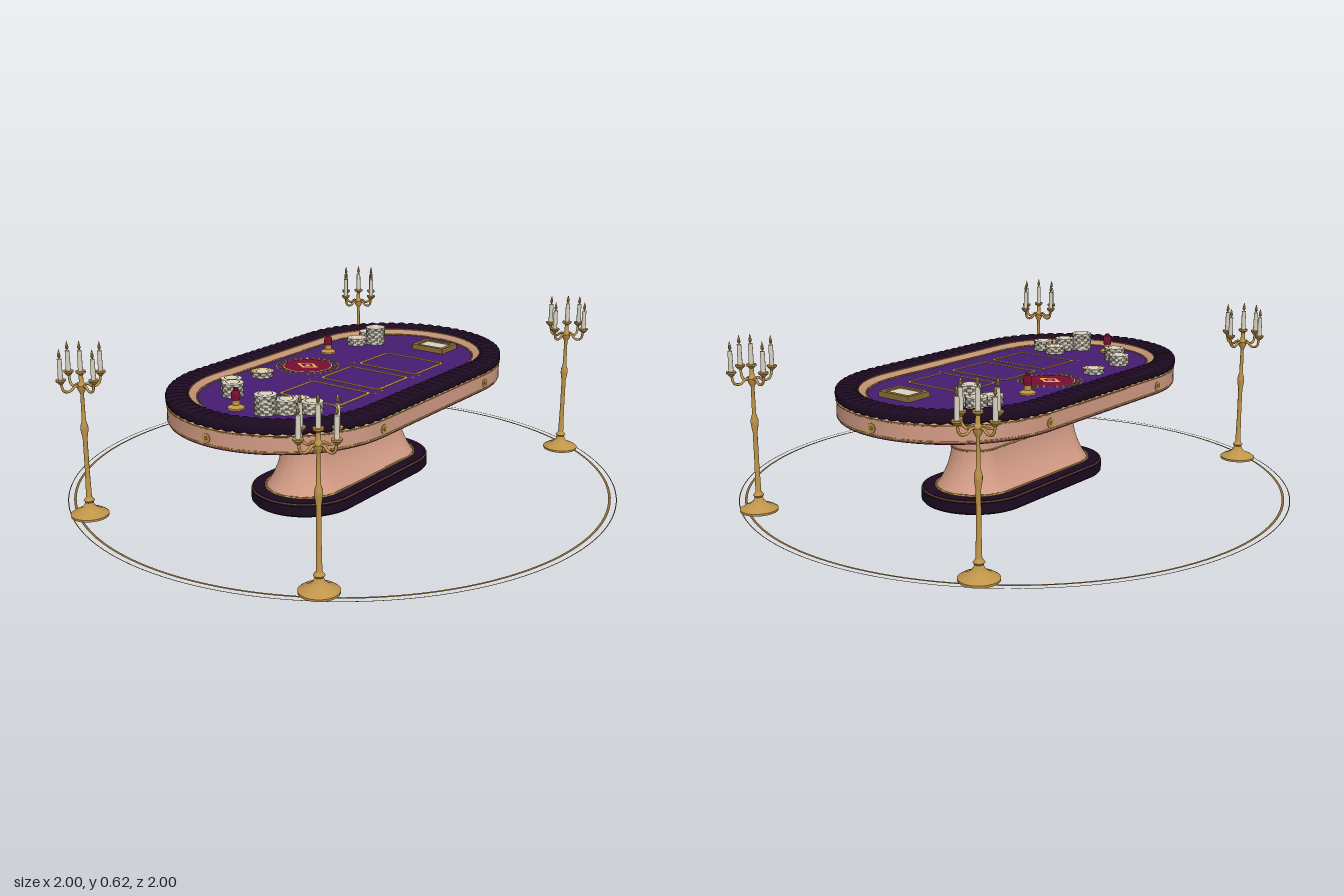
import * as THREE from 'three';
import { mergeGeometries, toCreasedNormals } from 'three/addons/utils/BufferGeometryUtils.js';

const mat = (name, color) => Object.assign(new THREE.MeshStandardMaterial({ color }), { name });
const M = {
  leather: mat('aubergine leather', 0x1c0a20),
  rose: mat('rose lacquer', 0xd49c86),
  ledge: mat('tan lacquer', 0xc29172),
  felt: mat('purple felt', 0x471c72),
  gold: mat('gold', 0xc0954a),
  bright: mat('bright gold', 0xdcb04c),
  trim: mat('antique gold', 0x8c6c3a),
  red: mat('crimson', 0x780e30),
  ivory: mat('ivory', 0xdad4c2),
  slate: mat('slate', 0x77726a),
};
const FELT = 0.41;

function add(parent, name, geo, material, x = 0, y = 0, z = 0) {
  const m = new THREE.Mesh(geo, material);
  m.name = name;
  m.position.set(x, y, z);
  parent.add(m);
  return m;
}

// Points round a stadium: end-centre offset, direction and arc length fraction
function track(half, r, arcN, lineN) {
  const out = [], total = 4 * half + 2 * Math.PI * r;
  let s = 0;
  const push = (c, a) => out.push({ c, cos: Math.cos(a), sin: Math.sin(a), t: s / total });
  for (const side of [1, -1]) {
    const start = side > 0 ? -Math.PI / 2 : Math.PI / 2;
    for (let i = 0; i < arcN; i++) {
      push(side * half, start + Math.PI * i / arcN);
      s += Math.PI * r / arcN;
    }
    for (let i = 0; i < lineN; i++) {
      push(side * half * (1 - 2 * i / lineN), start + Math.PI);
      s += 2 * half / lineN;
    }
  }
  return out;
}

// Sweeps a [radius, y] profile round a stadium; listed upward on the outside
function sweep(half, profile, { arcN = 40, lineN = 4, ripple = null, crease = 0.6 } = {}) {
  const ring = track(half, profile[0][0], arcN, lineN), pos = [], idx = [], n = profile.length;
  for (const p of ring) for (const q of profile) {
    const [r, y] = ripple ? ripple(q, p.t) : q;
    pos.push(p.c + r * p.cos, y, r * p.sin);
  }
  for (let i = 0; i < ring.length; i++) for (let j = 0; j < n - 1; j++) {
    const a = i * n + j, b = ((i + 1) % ring.length) * n + j;
    idx.push(a, a + 1, b, b, a + 1, b + 1);
  }
  const g = new THREE.BufferGeometry();
  g.setAttribute('position', new THREE.Float32BufferAttribute(pos, 3));
  g.setIndex(idx);
  g.computeVertexNormals();
  return ripple ? g : toCreasedNormals(g, crease);
}

// Round bead following a stadium
const bead = (half, r, y, w) => sweep(half, Array.from({ length: 7 }, (_, i) => {
  const a = -Math.PI / 2 + i * Math.PI / 3;
  return [r + w * Math.cos(a), y + w * Math.sin(a)];
}), { crease: 2 });

const lathe = (pts, seg = 24) =>
  toCreasedNormals(new THREE.LatheGeometry(pts.map(p => new THREE.Vector2(...p)), seg), 0.7);
const flatRing = (r0, r1, seg = 48) => new THREE.RingGeometry(r0, r1, seg).rotateX(-Math.PI / 2);
const flatDisc = (r, seg = 48) => new THREE.CircleGeometry(r, seg).rotateX(-Math.PI / 2);

// Thin rounded rectangular outline lying flat
function outline(w, d, line, rad, h) {
  const rr = (P, x, y, r) => {
    const p = new P();
    p.absarc(x - r, y - r, r, 0, Math.PI / 2).absarc(-x + r, y - r, r, Math.PI / 2, Math.PI)
      .absarc(-x + r, -y + r, r, Math.PI, Math.PI * 1.5).absarc(x - r, -y + r, r, Math.PI * 1.5, Math.PI * 2);
    p.closePath();
    return p;
  };
  const s = rr(THREE.Shape, w / 2, d / 2, rad);
  s.holes.push(rr(THREE.Path, w / 2 - line, d / 2 - line, Math.max(rad - line, 0.001)));
  return new THREE.ExtrudeGeometry(s, { depth: h, bevelEnabled: false, curveSegments: 6 }).rotateX(-Math.PI / 2);
}

function table() {
  const g = new THREE.Group();
  g.name = 'table';
  // Plinth and flared pedestal
  add(g, 'plinth', sweep(0.22, [[0, 0], [0.19, 0], [0.195, 0.006], [0.195, 0.042], [0.187, 0.05], [0, 0.05]]), M.leather);
  add(g, 'plinthBead', bead(0.22, 0.191, 0.046, 0.0025), M.trim);
  add(g, 'pedestalFoot', bead(0.22, 0.144, 0.053, 0.004), M.gold);
  const flare = Array.from({ length: 17 }, (_, i) => {
    const t = i / 16, u = (t - 0.6) / (t < 0.6 ? 0.6 : 0.4);
    return [0.085 + (t < 0.6 ? 0.056 : 0.048) * Math.pow(Math.abs(u), 2.1), 0.05 + 0.288 * t];
  });
  add(g, 'pedestal', sweep(0.22, flare), M.rose);
  add(g, 'pedestalBand', bead(0.22, 0.0875, 0.197, 0.0035), M.gold);
  // Table body
  const H = 0.325;
  add(g, 'underside', sweep(H, [[0, 0.336], [0.4, 0.336]]), M.leather);
  add(g, 'apron', sweep(H, [[0.4, 0.336], [0.406, 0.342], [0.406, 0.398], [0.38, 0.402]]), M.rose);
  add(g, 'apronLowerBead', bead(H, 0.4, 0.338, 0.003), M.red);
  add(g, 'apronGoldBead', bead(H, 0.405, 0.346, 0.0025), M.gold);
  add(g, 'apronUpperBead', bead(H, 0.405, 0.397, 0.003), M.gold);
  // Padded rail with soft pleats
  const rail = Array.from({ length: 15 }, (_, i) => {
    const a = -Math.PI / 2 + i * Math.PI * 1.6 / 14, c = Math.cos(a), s = Math.sin(a);
    return [0.371 + 0.039 * Math.sign(c) * Math.sqrt(Math.abs(c)), 0.419 + 0.021 * Math.sign(s) * Math.sqrt(Math.abs(s))];
  });
  const pleat = ([r, y], t) => {
    const k = 1 - 0.25 * Math.pow(Math.abs(Math.cos(Math.PI * 96 * t)), 4);
    return [0.371 + (r - 0.371) * (0.8 + 0.2 * k), 0.419 + (y - 0.419) * k];
  };
  add(g, 'paddedRail', sweep(H, rail, { arcN: 170, lineN: 90, ripple: pleat }), M.leather);
  // Inner ledge and playing surface
  add(g, 'innerLedge', sweep(H, [[0.345, 0.427], [0.332, 0.426], [0.306, 0.414], [0.3, FELT]]), M.ledge);
  add(g, 'ledgeOuterBead', bead(H, 0.331, 0.427, 0.002), M.trim);
  add(g, 'innerBead', bead(H, 0.303, 0.412, 0.0035), M.trim);
  add(g, 'feltTop', sweep(H, [[0.304, FELT], [0, FELT]]), M.felt);
  // Gold rosettes round the apron
  const spots = [[H, 0.404, 0], [-H, 0.404, 0], [H, -0.404, Math.PI], [-H, -0.404, Math.PI],
    [0.729, 0, Math.PI / 2], [-0.729, 0, -Math.PI / 2]];
  for (const [x, z, a] of spots) {
    const r = new THREE.Group();
    r.name = 'rosette';
    const plate = new THREE.CylinderGeometry(0.017, 0.018, 0.008, 8).rotateX(Math.PI / 2);
    add(r, 'rosettePlate', plate, M.gold);
    add(r, 'rosetteStud', new THREE.SphereGeometry(0.006, 12, 8).scale(1, 1, 0.5), M.trim, 0, 0, 0.004);
    r.position.set(x, 0.367, z);
    r.rotation.y = a;
    g.add(r);
  }
  return g;
}

function markings() {
  const g = new THREE.Group();
  g.name = 'feltMarkings';
  // Three card boxes with dots at their corners
  const dots = [];
  for (const x of [-0.235, 0, 0.235]) {
    add(g, 'cardBox', outline(0.195, 0.258, 0.01, 0.018, 0.002), M.bright, x, FELT, 0.098);
    for (const sx of [-1, 1]) for (const z of [-0.046, 0.24])
      dots.push(flatDisc(0.007, 4).translate(x + sx * 0.098, FELT + 0.002, z));
  }
  add(g, 'cornerDots', mergeGeometries(dots), M.bright);
  // Round medallion with a plain lozenge ornament
  const m = new THREE.Group();
  m.name = 'medallion';
  m.position.set(0, FELT, -0.16);
  g.add(m);
  add(m, 'outerRing', flatRing(0.112, 0.117), M.bright, 0, 0.002);
  add(m, 'innerRing', flatRing(0.087, 0.092), M.bright, 0, 0.003);
  add(m, 'crimsonDisc', flatDisc(0.088), M.red, 0, 0.002);
  const beads = Array.from({ length: 28 }, (_, i) =>
    new THREE.BoxGeometry(0.011, 0.002, 0.009).translate(0.102, 0.002, 0).rotateY(i * Math.PI / 14));
  add(m, 'dashRing', mergeGeometries(beads), M.bright);
  add(m, 'lozenge', flatRing(0.03, 0.048, 4).scale(0.7, 1, 1), M.bright, 0, 0.003);
  add(m, 'lozengeCentre', flatDisc(0.012, 4), M.bright, 0, 0.003);
  return g;
}

// Stack of chips with edge spots and a gold inlay ring
function chipStack(x, z, count) {
  const g = new THREE.Group(), R = 0.037, h = 0.0095, discs = [], spots = [];
  g.name = 'chipStack';
  for (let k = 0; k < count; k++) {
    const y = (k + 0.5) * h;
    discs.push(new THREE.CylinderGeometry(R, R, h * 0.9, 24).translate(0, y, 0));
    for (let i = 0; i < 8; i++)
      spots.push(new THREE.BoxGeometry(0.004, h * 0.8, 0.012).translate(R - 0.0015, y, 0)
        .rotateY(i * Math.PI / 4 + k * 0.37));
  }
  add(g, 'chips', mergeGeometries(discs), M.ivory);
  add(g, 'edgeSpots', mergeGeometries(spots), M.slate);
  add(g, 'inlayRing', flatRing(0.022, 0.0255), M.gold, 0, count * h + 0.001, 0);
  g.position.set(x, FELT, z);
  return g;
}

// Small crimson vial on a gold stand
function vial(x, z) {
  const g = new THREE.Group();
  g.name = 'vial';
  add(g, 'vialStand', lathe([[0, 0], [0.029, 0], [0.029, 0.006], [0.013, 0.014], [0.013, 0.03], [0, 0.03]]), M.gold);
  add(g, 'vialBody', lathe([[0, 0.028], [0.014, 0.031], [0.016, 0.045], [0.014, 0.059], [0.009, 0.064], [0.009, 0.071], [0, 0.075]]), M.red);
  g.position.set(x, FELT, z);
  return g;
}

function candelabrum(x, z) {
  const g = new THREE.Group();
  g.name = 'candelabrum';
  add(g, 'stand', lathe([[0, 0], [0.065, 0], [0.066, 0.008], [0.054, 0.016], [0.03, 0.026], [0.018, 0.038], [0.014, 0.05],
    [0.019, 0.057], [0.01, 0.068], [0.008, 0.17], [0.008, 0.28], [0.013, 0.31], [0.013, 0.325], [0.007, 0.345],
    [0.006, 0.44], [0.014, 0.455], [0.016, 0.468], [0.008, 0.48], [0.007, 0.505], [0.017, 0.513], [0.017, 0.519], [0, 0.519]]), M.gold);
  const candle = (cx, cz, y) => {
    add(g, 'candle', new THREE.CylinderGeometry(0.0075, 0.0085, 0.07, 12), M.ivory, cx, y + 0.035, cz);
    add(g, 'flame', lathe([[0, 0], [0.006, 0.009], [0.004, 0.02], [0, 0.034]], 10), M.gold, cx, y + 0.07, cz);
  };
  candle(0, 0, 0.519);
  const curve = new THREE.CatmullRomCurve3([[0, 0.462], [0.022, 0.47], [0.045, 0.456], [0.068, 0.462], [0.077, 0.493]]
    .map(([r, y]) => new THREE.Vector3(r, y, 0)));
  for (let i = 0; i < 4; i++) {
    const a = 0.17 + i * Math.PI / 2, cx = 0.077 * Math.cos(a), cz = 0.077 * Math.sin(a);
    add(g, 'arm', new THREE.TubeGeometry(curve, 16, 0.0045, 8), M.gold).rotation.y = -a;
    add(g, 'cup', lathe([[0, 0.485], [0.007, 0.488], [0.017, 0.499], [0.017, 0.504], [0, 0.504]], 16), M.gold, cx, 0, cz);
    candle(cx, cz, 0.504);
  }
  g.position.set(x, 0, z);
  return g;
}

export function createModel() {
  const root = new THREE.Group();
  root.name = 'gamingTable';
  root.add(table(), markings());
  // Chips and table dressing
  const stacks = [[-0.38, -0.2, 4], [-0.44, -0.14, 5], [0.37, -0.2, 3], [0.45, -0.2, 4], [0.425, -0.15, 7],
    [-0.525, 0.075, 7], [-0.48, 0.125, 5], [-0.4, 0.115, 3], [-0.425, 0.19, 4], [-0.2, -0.21, 2]];
  for (const s of stacks) root.add(chipStack(...s));
  add(root, 'goldMarkerRim', flatRing(0.032, 0.041), M.bright, -0.2, FELT + 0.02, -0.21);
  root.add(vial(0.2, -0.215), vial(-0.545, -0.035));
  // Framed card
  add(root, 'cardFrame', outline(0.106, 0.139, 0.016, 0.003, 0.02), M.trim, 0.49, FELT, 0.085);
  add(root, 'cardPanel', new THREE.BoxGeometry(0.075, 0.014, 0.108), M.ivory, 0.49, FELT + 0.007, 0.085);
  for (const sx of [-1, 1]) for (const sz of [-1, 1]) root.add(candelabrum(sx * 0.795, sz * 0.497));
  // Flat inlaid floor rings, facing up and down
  const floorRing = (r0, r1) => mergeGeometries([flatRing(r0, r1, 128).translate(0, 0.001, 0),
    flatRing(r0, r1, 128).rotateX(Math.PI)]);
  add(root, 'outerFloorRing', floorRing(0.9965, 1), M.trim);
  add(root, 'innerFloorRing', floorRing(0.97, 0.979), M.trim);
  return root;
}
